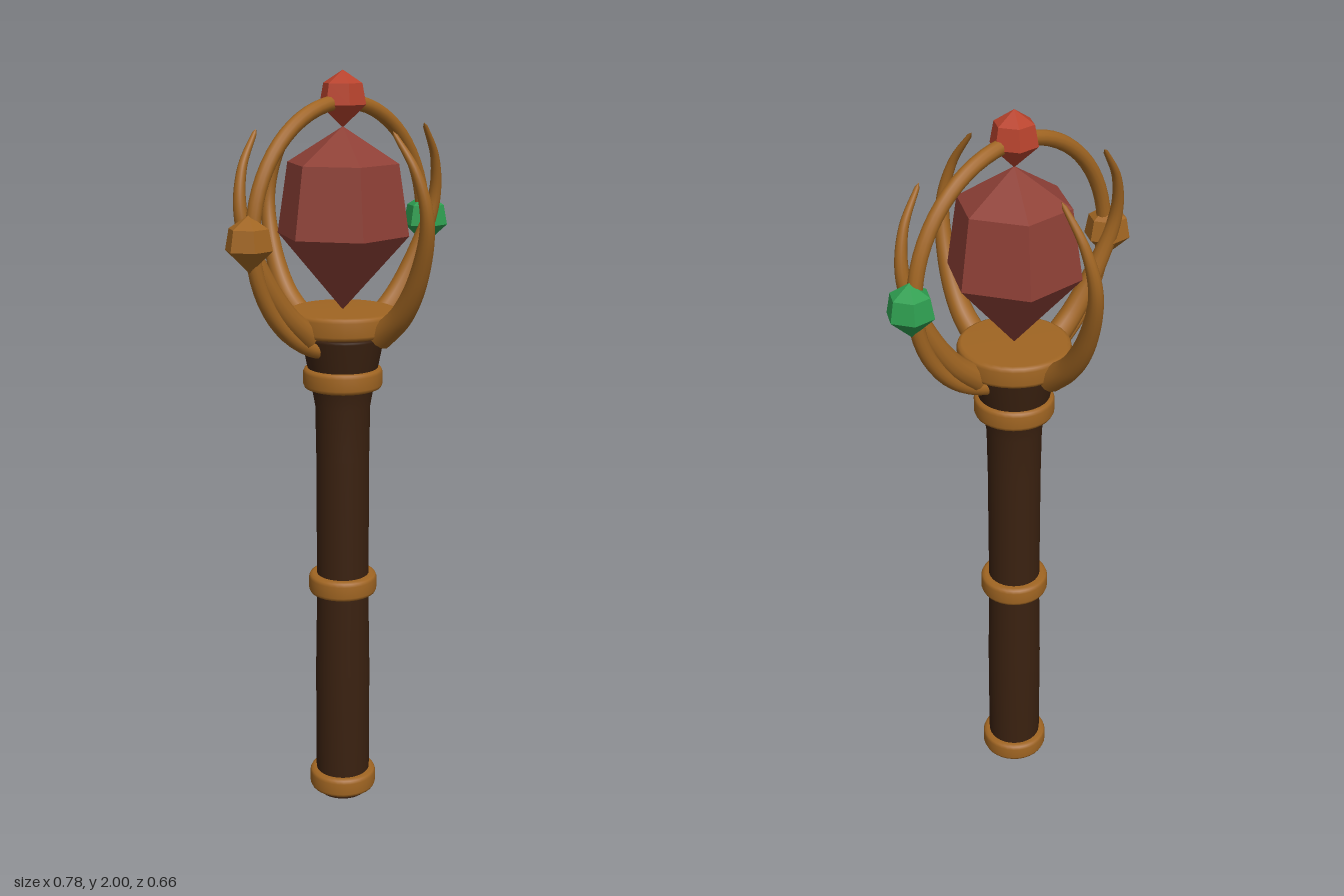
import * as THREE from 'three';

const mat = (name, color) => {
  const m = new THREE.MeshStandardMaterial({ color });
  m.name = name;
  return m;
};

export function createModel() {
  const gold = mat('gold', 0xa06522);
  const wood = mat('dark wood', 0x3a2110);
  const red = mat('deep red crystal', 0x8e4036);
  const brightRed = mat('bright red crystal', 0xb8432d);
  const green = mat('green crystal', 0x2e9e50);

  const model = new THREE.Group();
  const add = (name, geometry, material, x = 0, y = 0, z = 0) => {
    const mesh = new THREE.Mesh(geometry, material);
    mesh.name = name;
    mesh.position.set(x, y, z);
    model.add(mesh);
    return mesh;
  };
  const lathe = (pts, segments = 32, start = 0) =>
    new THREE.LatheGeometry(pts.map(([r, y]) => new THREE.Vector2(r, y)), segments, start);

  // Shaft, flaring out at the head
  add('shaft', lathe([
    [0, 0], [0.068, 0], [0.07, 0.002], [0.075, 0.08], [0.075, 0.38], [0.071, 0.6],
    [0.071, 1.0], [0.073, 1.14], [0.082, 1.19], [0.094, 1.25], [0.109, 1.325],
    [0.109, 1.33], [0.107, 1.332], [0, 1.332],
  ]), wood);

  // Rounded band: flat outer face with softened corners
  const band = (r, h, inner) => {
    const b = 0.012;
    return lathe([
      [inner, 0], [r - b, 0], [r - b * 0.3, b * 0.3], [r, b], [r, h - b],
      [r - b * 0.3, h - b * 0.3], [r - b, h], [inner, h],
    ]);
  };
  add('bottomCollar', band(0.093, 0.056, 0.05), gold, 0, 0.014);
  add('middleCollar', band(0.093, 0.056, 0.05), gold, 0, 0.611);
  add('topCollar', band(0.105, 0.056, 0.05), gold, 0, 1.19);
  add('crystalSeat', band(0.146, 0.06, 0), gold, 0, 1.34);

  // Six-sided faceted crystals
  const crystal = (pts) => {
    const g = lathe(pts, 6, Math.PI / 2).toNonIndexed();
    g.computeVertexNormals();
    return g;
  };
  add('mainCrystal', crystal([[0, 0], [0.173, 0.195], [0.145, 0.375], [0, 0.465]]), red, 0, 1.398);
  const small = crystal([[0, -0.07], [0.06, -0.014], [0.05, 0.038], [0, 0.07]]);
  add('topCrystal', small, brightRed, 0, 1.93);
  add('leftCrystal', small, green, 0.33, 1.602);
  add('rightCrystal', small, gold, -0.33, 1.602);

  // Ring around the main crystal
  add('ring', new THREE.TorusGeometry(0.318, 0.019, 12, 64), gold, 0, 1.605);

  // Claw: a tube tapered along its length, closed at both ends
  const path = new THREE.CatmullRomCurve3([
    [0, 1.335, 0.12], [-0.004, 1.41, 0.205], [-0.018, 1.52, 0.272], [-0.042, 1.66, 0.314],
    [-0.06, 1.77, 0.293], [-0.073, 1.865, 0.23],
  ].map((p) => new THREE.Vector3(...p)));
  const steps = 48, sides = 12;
  const claw = new THREE.TubeGeometry(path, steps, 1, sides);
  const pos = claw.attributes.position;
  const v = new THREE.Vector3();
  for (let i = 0; i <= steps; i++) {
    const end = i === 0 || i === steps;
    const t = i / steps;
    const radius = end ? 0 : 0.005 + 0.03 * Math.pow(1 - t, 0.85);
    // The base tip sits level with the next section so the end is flat
    const centre = path.getPointAt(t);
    const shift = i === 0 ? path.getPointAt(1 / steps) : centre;
    for (let j = 0; j <= sides; j++) {
      const k = i * (sides + 1) + j;
      v.fromBufferAttribute(pos, k).sub(centre).multiplyScalar(radius).add(shift);
      pos.setXYZ(k, v.x, v.y, v.z);
    }
  }
  ['frontClaw', 'leftClaw', 'backClaw', 'rightClaw'].forEach((name, i) => {
    add(name, claw, gold).rotation.y = i * Math.PI / 2;
  });

  return model;
}
